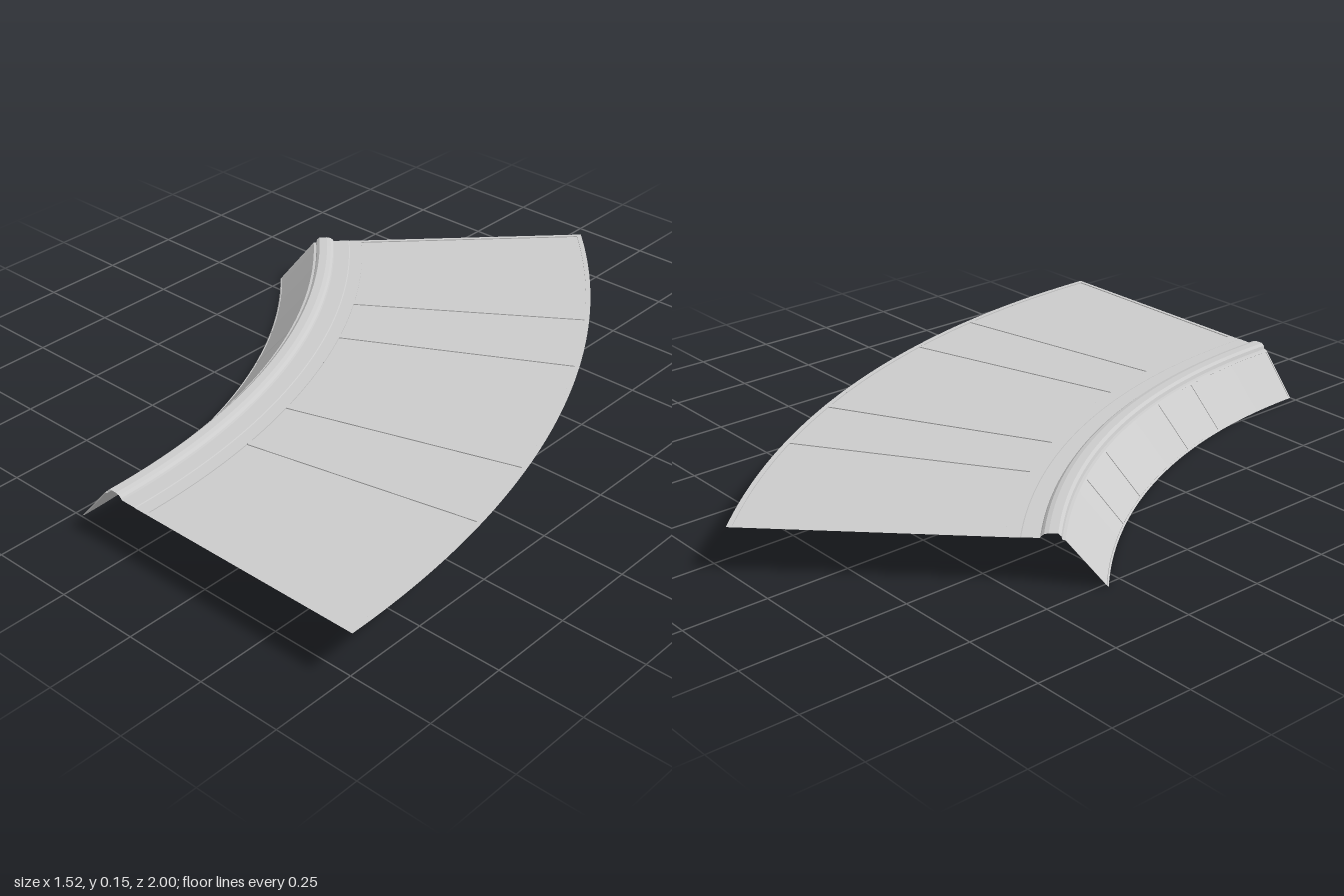
import * as THREE from 'three';
import { mergeGeometries } from 'three/addons/utils/BufferGeometryUtils.js';

const CX = -2.07, CZ = 1;              // centre of the curve
const SWEEP = Math.PI / 4;
const EDGES = [0, 11.25, 16.875, 28.125, 33.75, 45].map(THREE.MathUtils.degToRad);
const material = new THREE.MeshStandardMaterial({ color: 0xcccccc, side: THREE.DoubleSide });

// Grid surface: f(u, v) gives [radius, height, angle]
function patch(f, nu, nv) {
  const pos = [], idx = [];
  for (let j = 0; j <= nv; j++) {
    for (let i = 0; i <= nu; i++) {
      const [r, y, a] = f(i / nu, j / nv);
      pos.push(CX + r * Math.cos(a), y, CZ - r * Math.sin(a));
      if (i < nu && j < nv) {
        const p = j * (nu + 1) + i, q = p + nu + 1;
        idx.push(p, p + 1, q + 1, p, q + 1, q);
      }
    }
  }
  const g = new THREE.BufferGeometry();
  g.setAttribute('position', new THREE.Float32BufferAttribute(pos, 3));
  g.setIndex(idx);
  g.computeVertexNormals();
  return g;
}

function mesh(name, parts) {
  const m = new THREE.Mesh(mergeGeometries(parts), material);
  m.name = name;
  return m;
}

// Curved band from profile point A to B, with sunken panels in a thin frame
function panelledBand(name, A, B, m0, m1, gap, depth) {
  const group = new THREE.Group();
  group.name = name;
  const len = Math.hypot(B[0] - A[0], B[1] - A[1]);
  const n = [-(B[1] - A[1]) / len, (B[0] - A[0]) / len];
  const at = (t, d) => [A[0] + (B[0] - A[0]) * t - n[0] * d, A[1] + (B[1] - A[1]) * t - n[1] * d];
  const lerp = THREE.MathUtils.lerp;
  const t0 = m0 / len, t1 = 1 - m1 / len;

  // long frame strips
  const frame = [[0, t0], [t1, 1]].map(([s, e]) =>
    patch((u, v) => [...at(lerp(s, e, u), 0), v * SWEEP], 1, 64));
  // radial frame ribs of constant width
  EDGES.forEach((edge, i) => {
    const lo = i === 0 ? 0 : -gap, hi = i === EDGES.length - 1 ? 0 : gap;
    frame.push(patch((u, v) => {
      const p = at(lerp(t0, t1, u), 0);
      return [...p, edge + lerp(lo, hi, v) / p[0]];
    }, 4, 1));
  });
  group.add(mesh(name + 'Frame', frame));

  // sunken panels with their stepped borders
  for (let i = 0; i < EDGES.length - 1; i++) {
    const point = (u, v, d) => {
      const p = at(lerp(t0, t1, u), depth * d);
      return [...p, lerp(EDGES[i] + gap / p[0], EDGES[i + 1] - gap / p[0], v)];
    };
    const nv = Math.round((EDGES[i + 1] - EDGES[i]) / SWEEP * 64);
    group.add(mesh(name + 'Panel' + (i + 1), [
      patch((u, v) => point(u, v, 1), 4, nv),
      patch((u, v) => point(0, v, u), 1, nv),
      patch((u, v) => point(1, v, 1 - u), 1, nv),
      patch((u, v) => point(u, 0, v), 4, 1),
      patch((u, v) => point(u, 1, 1 - v), 4, 1),
    ]));
  }
  return group;
}

// Plain curved moulding swept from a profile of [radius, height] points
function moulding(name, profile) {
  const strips = [];
  for (let i = 0; i < profile.length - 1; i++) {
    const [a, b] = [profile[i], profile[i + 1]];
    strips.push(patch((u, v) =>
      [a[0] + (b[0] - a[0]) * u, a[1] + (b[1] - a[1]) * u, v * SWEEP], 1, 64));
  }
  return mesh(name, strips);
}

export function createModel() {
  const model = new THREE.Group();
  model.name = 'curvedPlatform';
  // sloping inner wall
  model.add(panelledBand('wall', [1.843, 0], [1.955, 0.13], 0.006, 0.006, 0.004, 0.002));
  // raised rounded rim
  model.add(moulding('rim', [
    [1.955, 0.13], [1.963, 0.131], [1.966, 0.141], [1.974, 0.148],
    [1.998, 0.148], [2.01, 0.145], [2.017, 0.139], [2.02, 0.134],
  ]));
  // apron between rim and deck
  model.add(moulding('apron', [[2.02, 0.134], [2.068, 0.134], [2.071, 0.133], [2.09, 0.133]]));
  // flat outer deck
  model.add(panelledBand('deck', [2.09, 0.133], [2.828, 0.133], 0.02, 0.014, 0.011, 0.003));
  return model;
}
